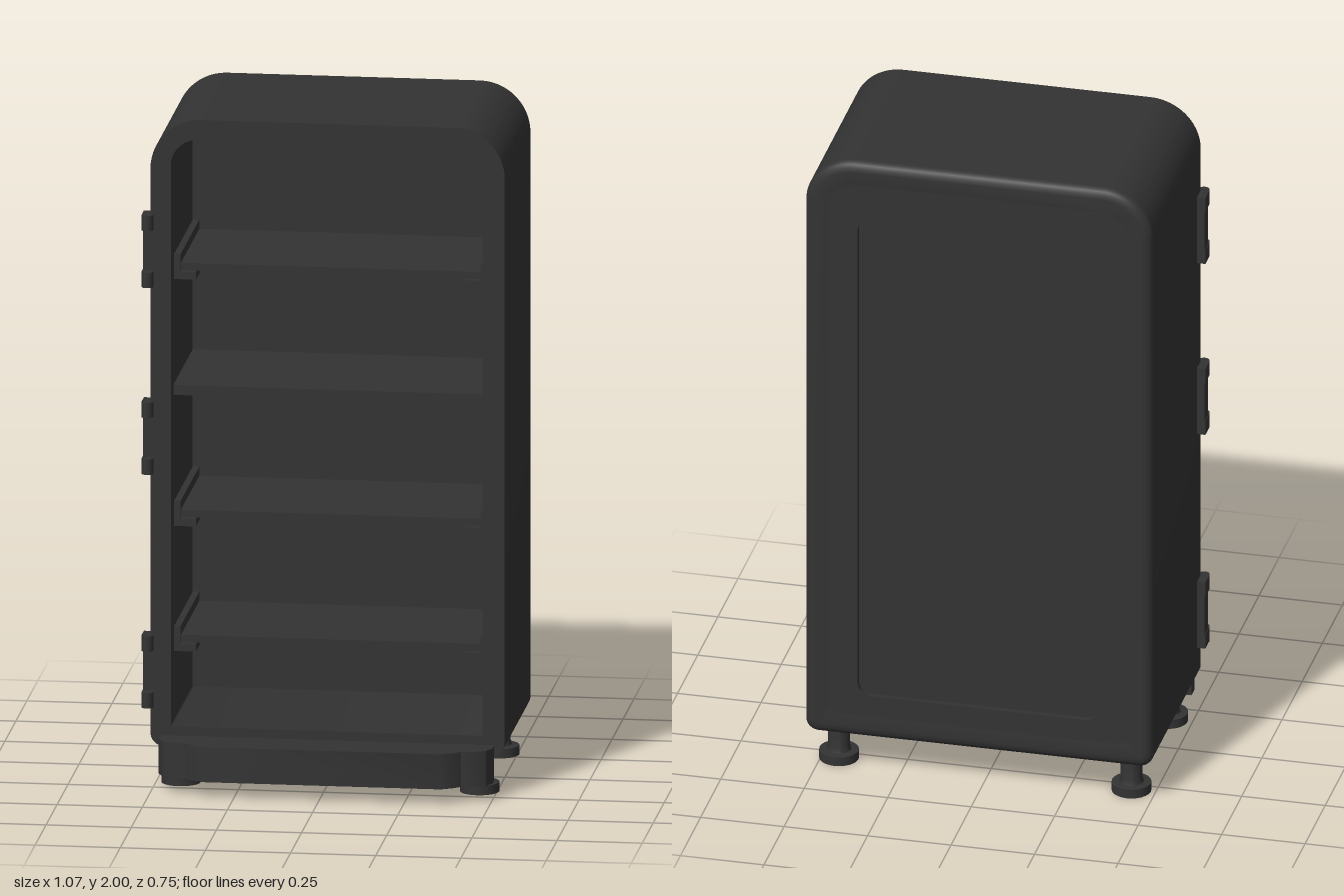
import * as THREE from 'three';
import { toCreasedNormals } from 'three/addons/utils/BufferGeometryUtils.js';

const CX = 0.01; // cabinet centre line
const material = new THREE.MeshStandardMaterial({ color: 0x333333 });

// Rectangle with separate top and bottom corner radii, traced counter-clockwise
function trace(path, x0, x1, y0, y1, rt, rb) {
  path.moveTo(x0 + rb, y0);
  path.lineTo(x1 - rb, y0);
  path.absarc(x1 - rb, y0 + rb, rb, -Math.PI / 2, 0);
  path.lineTo(x1, y1 - rt);
  path.absarc(x1 - rt, y1 - rt, rt, 0, Math.PI / 2);
  path.lineTo(x0 + rt, y1);
  path.absarc(x0 + rt, y1 - rt, rt, Math.PI / 2, Math.PI);
  path.lineTo(x0, y0 + rb);
  path.absarc(x0 + rb, y0 + rb, rb, Math.PI, Math.PI * 1.5);
  return path;
}

// Cabinet outline, shrunk evenly by an inset
const outline = (path, inset) => trace(path, -0.51 + inset, 0.53 - inset, 0.12 + inset, 2 - inset,
  Math.max(0.15 - inset, 0.02), Math.max(0.04 - inset, 0.005));
const opening = (path) => trace(path, -0.45, 0.465, 0.18, 1.94, 0.08, 0.006);
const recess = (path) => trace(path, -0.35, 0.37, 0.26, 1.82, 0.04, 0.04);

function extrude(shape, z0, z1, options = {}) {
  const g = new THREE.ExtrudeGeometry(shape, { depth: z1 - z0, bevelEnabled: false, curveSegments: 12, ...options });
  g.translate(0, 0, z0);
  return toCreasedNormals(g, 0.6);
}

function add(parent, name, geometry, x = 0, y = 0, z = 0) {
  const mesh = new THREE.Mesh(geometry, material);
  mesh.name = name;
  mesh.position.set(x, y, z);
  parent.add(mesh);
  return mesh;
}

// Box given by its limits
function box(parent, name, x0, x1, y0, y1, z0, z1) {
  return add(parent, name, new THREE.BoxGeometry(x1 - x0, y1 - y0, z1 - z0),
    (x0 + x1) / 2, (y0 + y1) / 2, (z0 + z1) / 2);
}

function group(parent, name) {
  const g = new THREE.Group();
  g.name = name;
  parent.add(g);
  return g;
}

export function createModel() {
  const model = new THREE.Group();
  model.name = 'cabinet';

  // Outer shell with the front opening
  const shell = outline(new THREE.Shape(), 0);
  shell.holes.push(opening(new THREE.Path()));
  add(model, 'shell', extrude(shell, -0.345, 0.235));

  // Inner back wall; its rear face is the floor of the back recess
  add(model, 'innerBackWall', extrude(opening(new THREE.Shape()), -0.36, -0.26));

  // Softened rim round the back edge
  const rim = outline(new THREE.Shape(), 0);
  rim.holes.push(outline(new THREE.Path(), 0.1));
  add(model, 'backRim', extrude(rim, -0.35, -0.34, {
    bevelEnabled: true, bevelThickness: 0.025, bevelSize: 0.03, bevelOffset: -0.03, bevelSegments: 4,
  }));

  // Back panel with its recess
  const back = outline(new THREE.Shape(), 0.065);
  back.holes.push(recess(new THREE.Path()));
  add(model, 'backPanel', extrude(back, -0.3748, -0.34));

  // Fixed shelf dividing the two compartments
  box(model, 'fixedShelf', -0.45, 0.465, 1.16, 1.19, -0.265, 0.18);

  // Removable shelves on angled side rails
  for (const y of [1.53, 0.79, 0.415]) {
    const shelf = group(model, 'shelf');
    box(shelf, 'shelfBoard', -0.435, 0.45, y, y + 0.022, -0.262, 0.16);
    for (const s of [-1, 1]) {
      const rail = group(shelf, 'shelfRail');
      const span = (a, b) => [CX + s * a, CX + s * b].sort((p, q) => p - q);
      box(rail, 'railSide', ...span(0.44, 0.459), y - 0.025, y + 0.05, -0.262, 0.17);
      box(rail, 'railLedge', ...span(0.395, 0.459), y - 0.025, y - 0.002, -0.262, 0.17);
    }
  }

  // Hinges on the right edge: a plate joining two rounded knuckles
  for (const y of [1.605, 1.045, 0.345]) {
    const hinge = group(model, 'hinge');
    box(hinge, 'hingePlate', -0.533, -0.5, y - 0.085, y + 0.085, 0.19, 0.228);
    for (const s of [-1, 1]) {
      const ky = y + s * 0.085;
      box(hinge, 'hingeArm', -0.535, -0.501, ky - 0.023, ky + 0.023, 0.19, 0.243);
      add(hinge, 'hingeKnuckle', new THREE.CylinderGeometry(0.017, 0.017, 0.046, 16), -0.518, ky, 0.243);
    }
  }

  // Stepped kick panel in front of the feet
  const half = [[0.49, 0.245], [0.49, 0.285], [0.475, 0.315], [0.44, 0.334], [0.405, 0.336], [0.385, 0.355], [0.35, 0.375]];
  const points = [
    ...half.map(([x, z]) => new THREE.Vector2(CX + x, z)),
    ...[...half].reverse().map(([x, z]) => new THREE.Vector2(CX - x, z)),
  ];
  const kick = extrude(new THREE.Shape(points), 0, 0.105);
  kick.rotateX(Math.PI / 2);
  add(model, 'kickPanel', kick, 0, 0.155, 0);

  // Four levelling feet
  const footProfile = [[0, 0], [0.058, 0], [0.058, 0.028], [0.036, 0.03], [0.032, 0.045], [0.032, 0.13], [0, 0.13]]
    .map(([r, y]) => new THREE.Vector2(r, y));
  const foot = toCreasedNormals(new THREE.LatheGeometry(footProfile, 24), 0.6);
  for (const s of [-1, 1]) {
    for (const z of [0.172, -0.283]) add(model, 'foot', foot, CX + s * 0.438, 0, z);
  }

  return model;
}
